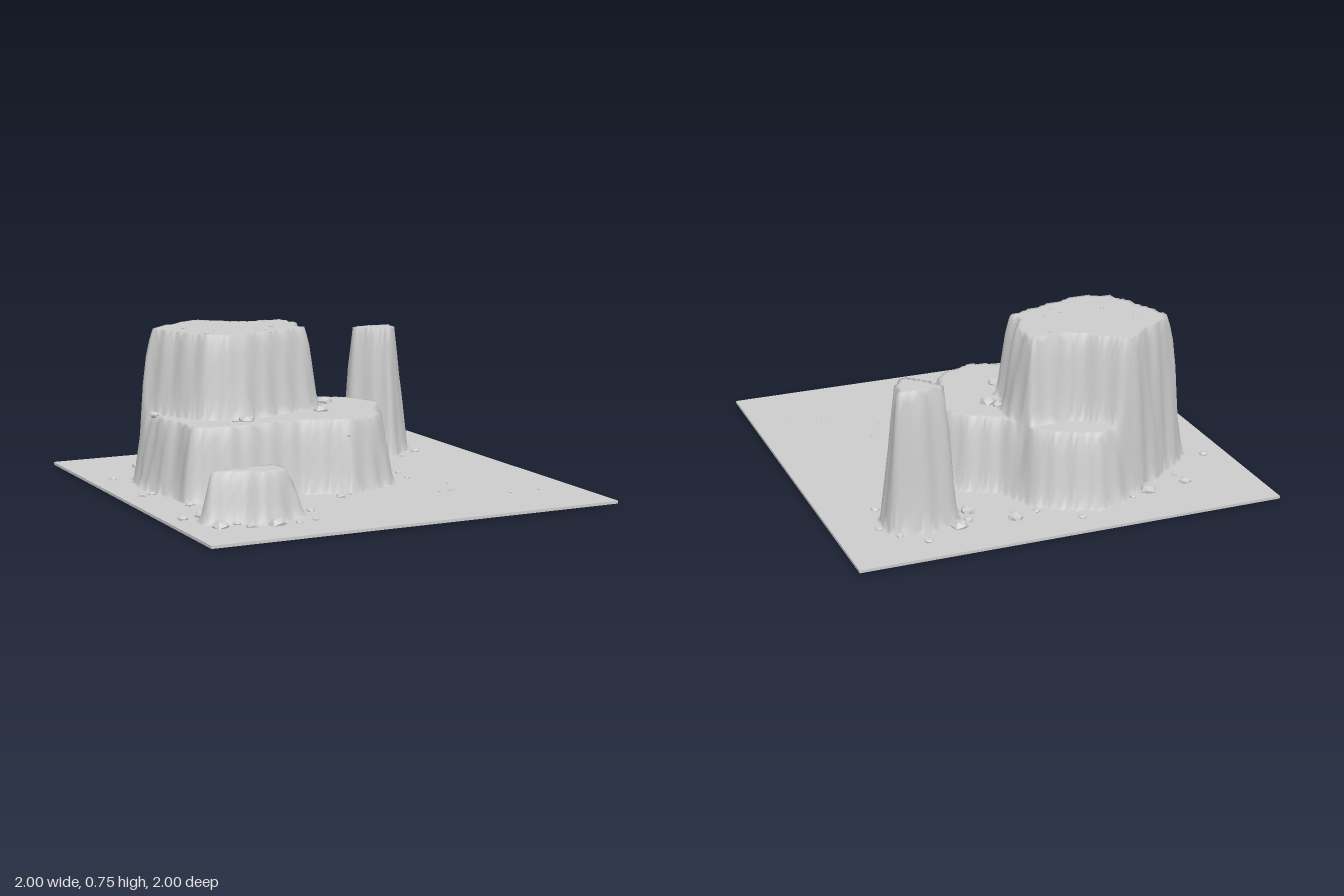
import * as THREE from 'three';

const GROUND = 0.025;
const SEGMENTS = 110;
const CLIFF = 0.057; // horizontal width of every cliff

// Closed, slightly rounded outline through a few x, z points
function outline(...points) {
  const knots = points.map(([x, z]) => new THREE.Vector3(x, 0, z));
  return new THREE.CatmullRomCurve3(knots, true, 'catmullrom', 0.3).getSpacedPoints(64).slice(0, -1);
}

// Mesas: rise, number of loose stones at the foot, outline of the foot
const mesas = [
  { // broad lower terrace
    rise: 0.333, stones: 15,
    foot: outline([-.21, -.82], [.06, -.69], [.15, -.5], [.34, -.38], [.43, -.15], [.33, .04],
      [.25, .22], [0, .32], [-.22, .235], [-.56, .26], [-.77, .2], [-.78, .03], [-.82, -.13],
      [-.8, -.42], [-.61, -.57], [-.42, -.71]),
  },
  { // upper tier, sharing its back right cliff with the terrace
    rise: 0.385, stones: 3,
    foot: outline([-.38, -.71], [-.17, -.55], [.05, -.54], [.08, -.32], [.03, -.22], [.04, -.12],
      [-.13, -.05], [-.42, .03], [-.61, -.04], [-.71, -.26], [-.76, -.44], [-.61, -.57]),
  },
  { // tall pillar
    rise: 0.632, stones: 7,
    foot: outline([.44, -.6], [.45, -.7], [.6, -.75], [.76, -.71], [.74, -.54], [.6, -.43]),
  },
  { // small butte
    rise: 0.215, stones: 9,
    foot: outline([-.87, .62], [-.83, .5], [-.5, .46], [-.44, .54], [-.42, .66], [-.62, .74], [-.72, .67]),
  },
];

// Places of the largest fallen rocks
const boulders = [[-.67, -.7], [-.47, -.73], [.2, -.77], [.46, -.76], [.37, -.63], [.12, -.23],
  [-.59, .76], [-.4, .5], [-.83, .7], [-.82, .47], [-.43, .08], [0, -.02], [.46, -.24]];

// Signed distance to a closed outline, positive inside
function depthInside(foot, x, z) {
  let best = Infinity, inside = false;
  foot.forEach((a, i) => {
    const b = foot[(i + 1) % foot.length];
    const ex = b.x - a.x, ez = b.z - a.z;
    const t = THREE.MathUtils.clamp(((x - a.x) * ex + (z - a.z) * ez) / (ex * ex + ez * ez), 0, 1);
    best = Math.min(best, Math.hypot(x - a.x - t * ex, z - a.z - t * ez));
    if ((a.z > z) !== (b.z > z) && x < a.x + ((z - a.z) / ez) * ex) inside = !inside;
  });
  return inside ? best : -best;
}

function heightAt(x, z) {
  // Small ripples flute the cliffs
  const ripple = 0.004 * (Math.sin(x * 61 + z * 23) + Math.sin(z * 67 - x * 31));
  let y = GROUND;
  for (const { foot, rise } of mesas) {
    const t = THREE.MathUtils.clamp((depthInside(foot, x, z) + ripple) / CLIFF, 0, 1);
    y += rise * Math.pow(t, 0.9);
  }
  return y;
}

function seeded(seed) {
  return () => {
    seed = (seed * 16807) % 2147483647;
    return seed / 2147483647;
  };
}

export function createModel() {
  const model = new THREE.Group();
  const stone = new THREE.MeshStandardMaterial({ color: 0xcccccc });
  const sheet = new THREE.MeshStandardMaterial({ color: 0xcccccc, side: THREE.DoubleSide });
  const faceted = new THREE.MeshStandardMaterial({ color: 0xcccccc, flatShading: true });

  // Terrain: one open sheet raised into mesas, hollow underneath
  const ground = new THREE.PlaneGeometry(2, 2, SEGMENTS, SEGMENTS).rotateX(-Math.PI / 2);
  const p = ground.attributes.position;
  for (let i = 0; i < p.count; i++) p.setY(i, heightAt(p.getX(i), p.getZ(i)));
  ground.computeVertexNormals();
  const terrain = new THREE.Mesh(ground, sheet);
  terrain.name = 'terrain';
  model.add(terrain);

  // Thin rim around the square sheet
  for (let i = 0; i < 4; i++) {
    const rim = new THREE.Mesh(new THREE.BoxGeometry(2, 0.013, 0.004), stone);
    const angle = (i * Math.PI) / 2;
    rim.position.set(Math.sin(angle) * 0.998, GROUND - 0.0067, Math.cos(angle) * 0.998);
    rim.rotation.y = angle;
    rim.name = 'groundRim';
    model.add(rim);
  }

  // Rocks, slightly flattened and half sunk
  const random = seeded(7);
  const between = (low, high) => low + (high - low) * random();
  const rockShape = new THREE.IcosahedronGeometry(1, 0);
  const addRock = (name, x, z, r) => {
    const holder = new THREE.Group();
    holder.name = name;
    const rock = new THREE.Mesh(rockShape, faceted);
    rock.name = name;
    rock.rotation.set(between(0, 6), between(0, 6), between(0, 6));
    holder.add(rock);
    holder.position.set(x, heightAt(x, z) + r * 0.1, z);
    holder.scale.set(r, r * 0.65, r);
    model.add(holder);
  };
  for (const [x, z] of boulders) addRock('boulder', x, z, between(0.033, 0.043));

  // Loose stones strewn just outside the foot of each mesa
  for (const { foot, stones } of mesas) {
    const centre = foot.reduce((sum, v) => sum.add(v), new THREE.Vector3()).divideScalar(foot.length);
    for (let i = 0; i < stones; i++) {
      const at = foot[Math.floor(((i + random()) / stones) * foot.length)];
      const spot = at.clone().sub(centre).setLength(between(0.02, 0.1)).add(at);
      addRock('looseStone', spot.x, spot.z, between(0.016, 0.028));
    }
  }

  // Pebbles on the open ground and on the summit
  for (let i = 0; i < 7; i++) {
    addRock('groundPebble', between(0, 0.85), between(0.2, 0.75), 0.011);
    addRock('summitPebble', between(-0.6, -0.05), between(-0.5, -0.1), 0.011);
  }

  return model;
}
